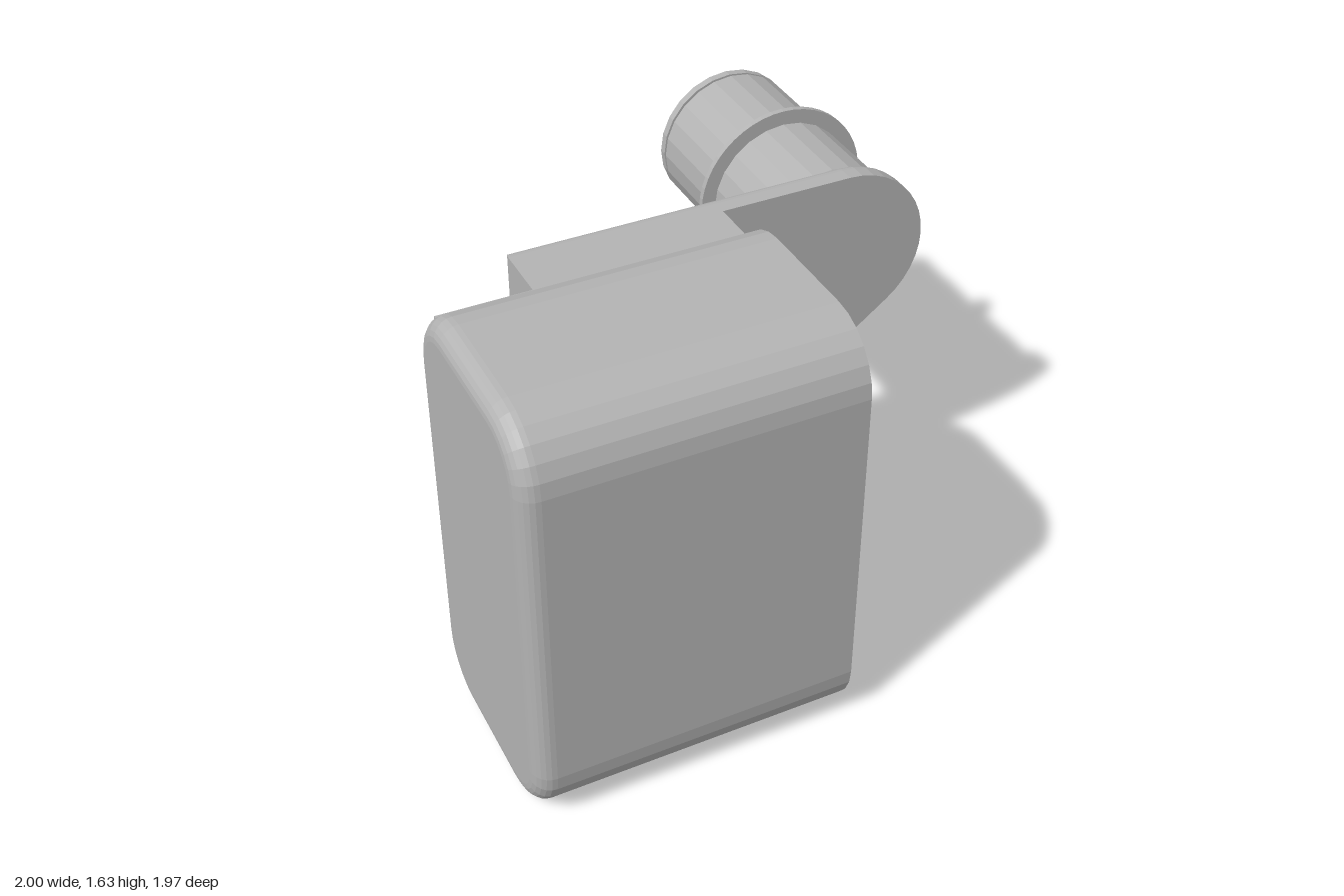
import * as THREE from 'three';

const grey = new THREE.MeshStandardMaterial({ color: 0xb3b3b3 });
grey.name = 'plain grey';

// Faceted mesh with one normal per face
function part(name, geometry, parent) {
  const g = geometry.index ? geometry.toNonIndexed() : geometry;
  g.computeVertexNormals();
  const mesh = new THREE.Mesh(g, grey);
  mesh.name = name;
  parent.add(mesh);
  return mesh;
}

// Extrusion from z = start to z = end, rounded at the start and sharp at the end
function roundedAtStart(shape, start, end, radius, curveSegments) {
  const depth = end - start - radius;
  const g = new THREE.ExtrudeGeometry(shape, {
    depth, curveSegments, bevelThickness: radius, bevelSize: radius,
    bevelOffset: -radius, bevelSegments: 6,
  });
  const p = g.attributes.position;
  for (let i = 0; i < p.count; i++) p.setZ(i, Math.min(p.getZ(i), depth));
  return g.translate(0, 0, start + radius);
}

function roundedRect(x0, y0, x1, y1, r) {
  const s = new THREE.Shape();
  s.absarc(x1 - r, y0 + r, r, -Math.PI / 2, 0);
  s.absarc(x1 - r, y1 - r, r, 0, Math.PI / 2);
  s.absarc(x0 + r, y1 - r, r, Math.PI / 2, Math.PI);
  s.absarc(x0 + r, y0 + r, r, Math.PI, Math.PI * 1.5);
  return s;
}

function box(name, x0, x1, y0, y1, z0, z1, parent) {
  const g = new THREE.BoxGeometry(x1 - x0, y1 - y0, z1 - z0);
  g.translate((x0 + x1) / 2, (y0 + y1) / 2, (z0 + z1) / 2);
  return part(name, g, parent);
}

function polygon(points) {
  return new THREE.Shape(points.map(([x, y]) => new THREE.Vector2(x, y)));
}

export function createModel() {
  const model = new THREE.Group();
  model.name = 'bracketWithHub';
  const cx = 0.665, cy = 1.205, right = 0.165;

  // Main block: rounded section swept along x, open end square
  const section = roundedRect(-0.985, 0, -0.135, 1.63, 0.225);
  const block = roundedAtStart(section, -1, right, 0.07, 3);
  part('mainBlock', block.rotateY(Math.PI / 2), model);
  box('backLedge', -0.935, right, 1.4, 1.52, 0.135, 0.3, model);

  // Spacer pads between block and arm, with a channel between them
  box('upperPad', -0.6, right, 0.95, 1.52, -0.03, 0.135, model);
  const lower = polygon([[-0.6, 0.265], [-0.063, 0.265], [right, 0.436], [right, 0.7], [-0.6, 0.7]]);
  part('lowerPad', new THREE.ExtrudeGeometry(lower, { depth: 0.165, bevelEnabled: false })
    .translate(0, 0, -0.03), model);

  // Arm plate with a round end and a slanted lower edge
  const r = 0.315;
  const arm = new THREE.Shape();
  arm.moveTo(-0.6, 0.265);
  arm.lineTo(-0.063, 0.265);
  arm.absarc(cx, cy, r, Math.atan2(-0.8, 0.6), Math.PI / 2);
  arm.lineTo(-0.6, 1.52);
  arm.closePath();
  part('armPlate', roundedAtStart(arm, -0.13, -0.02, 0.055, 8), model);

  // Hub: turned barrel with end groove and bore, pointing backwards
  const hub = new THREE.Group();
  hub.name = 'hub';
  hub.position.set(cx, cy, -0.13);
  model.add(hub);
  const profile = [
    [0.268, -0.01], [0.268, 0.008], [0.28, 0.018], [0.28, 0.802], [0.268, 0.802],
    [0.268, 0.814], [0.28, 0.814], [0.28, 0.845], [0.27, 0.855], [0.27, 0.825],
    [0.12, 0.825], [0.12, 0.25], [0, 0.25],
  ].map(([x, y]) => new THREE.Vector2(x, y));
  part('hubBarrel', new THREE.LatheGeometry(profile, 24).rotateX(-Math.PI / 2), hub);

  // Collar around the barrel
  const collar = new THREE.CylinderGeometry(0.335, 0.335, 0.022, 48);
  part('hubCollar', collar.rotateX(Math.PI / 2).translate(0, 0, -0.39), hub);

  // End face with bore, ring of small holes and a slot
  const face = new THREE.Shape().absarc(0, 0, 0.27, 0, Math.PI * 2);
  face.holes.push(new THREE.Path().absarc(0, 0, 0.12, 0, Math.PI * 2, true));
  for (let i = 0; i < 10; i++) {
    const a = (-72 + i * 36) * Math.PI / 180;
    face.holes.push(new THREE.Path().absarc(0.2 * Math.cos(a), 0.2 * Math.sin(a), 0.018, 0, Math.PI * 2, true));
  }
  face.holes.push(polygon([[-0.012, -0.235], [-0.012, -0.18], [0.012, -0.18], [0.012, -0.235]]));
  const plate = new THREE.ExtrudeGeometry(face, { depth: 0.03, bevelEnabled: false, curveSegments: 12 });
  part('hubEndFace', plate.translate(0, 0, -0.855), hub);

  return model;
}
